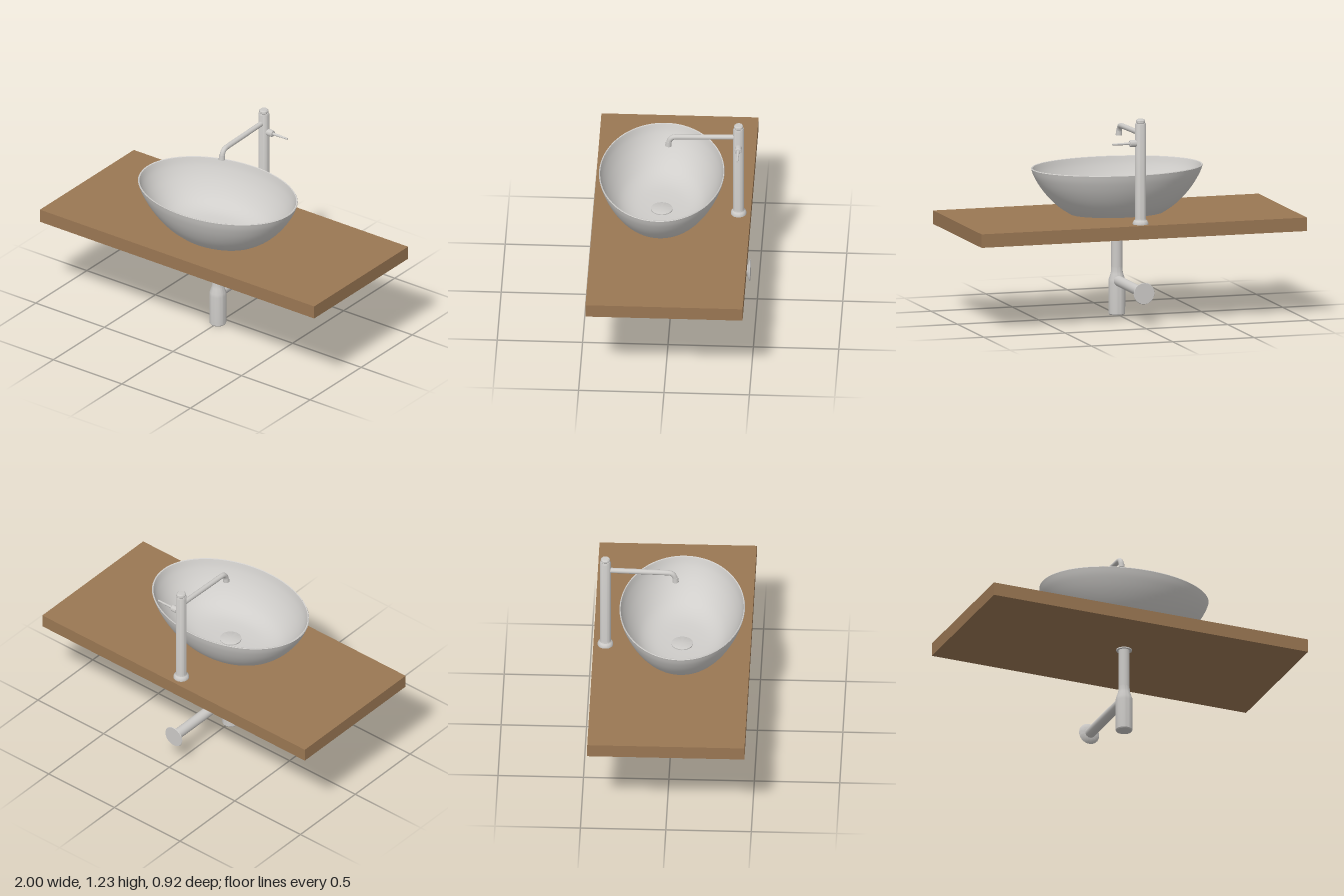
import * as THREE from 'three';
import { toCreasedNormals } from 'three/addons/utils/BufferGeometryUtils.js';

const mat = (name, color) => {
  const m = new THREE.MeshStandardMaterial({ color });
  m.name = name;
  return m;
};

export function createModel() {
  const group = new THREE.Group();
  const wood = mat('wood', 0x9a7753);
  const ceramic = mat('ceramic', 0xd0cecb);
  const metal = mat('metal', 0xcccac7);

  const add = (name, geometry, material, x = 0, y = 0, z = 0) => {
    const mesh = new THREE.Mesh(geometry, material);
    mesh.name = name;
    mesh.position.set(x, y, z);
    group.add(mesh);
    return mesh;
  };
  // Turned part from [radius, height] pairs, listed from the bottom up the outside
  const turned = (pairs, segments = 40, crease = 0.5) => toCreasedNormals(
    new THREE.LatheGeometry(pairs.map(([r, y]) => new THREE.Vector2(r, y)), segments), crease);

  const drainZ = 0.06, tapZ = -0.39;

  // Countertop
  add('countertop', new THREE.BoxGeometry(2, 0.08, 0.92), wood, 0, 0.563, 0);

  // Oval bowl: outer wall up to the rim, then the inner wall down to the floor
  const outer = new THREE.SplineCurve([
    [0.28, 0.603], [0.345, 0.645], [0.405, 0.7], [0.458, 0.765], [0.497, 0.83], [0.515, 0.876],
  ].map(p => new THREE.Vector2(...p))).getPoints(20).map(p => [p.x, p.y]);
  const inner = new THREE.SplineCurve([
    [0.505, 0.878], [0.486, 0.83], [0.447, 0.768], [0.39, 0.705], [0.325, 0.658],
    [0.24, 0.629], [0.13, 0.618], [0, 0.616],
  ].map(p => new THREE.Vector2(...p))).getPoints(30).map(p => [Math.max(p.x, 0), p.y]);
  const bowl = turned([[0, 0.603], ...outer, [0.512, 0.88], ...inner], 80);
  add('basin', bowl, ceramic, 0, 0, drainZ).scale.z = 0.713;
  add('drainCover', turned([[0.063, 0.616], [0.063, 0.623], [0.058, 0.625], [0, 0.625]]),
    metal, 0, 0, drainZ);

  // Tap column with flared foot and cap
  add('tapColumn', turned([
    [0, 0.603], [0.046, 0.603], [0.046, 0.611], [0.041, 0.622], [0.034, 0.629], [0.032, 0.64],
    [0.032, 1.195], [0.028, 1.203], [0.024, 1.203], [0.027, 1.207], [0.027, 1.218],
    [0.021, 1.225], [0, 1.226],
  ]), metal, 0, 0, tapZ);

  // Spout with a curved end
  const spout = new THREE.CurvePath();
  const v = (y, z) => new THREE.Vector3(0, y, z);
  spout.add(new THREE.LineCurve3(v(1.14, -0.37), v(1.131, -0.03)));
  spout.add(new THREE.CubicBezierCurve3(v(1.131, -0.03), v(1.131, 0), v(1.12, 0.012), v(1.088, 0.019)));
  add('spout', new THREE.TubeGeometry(spout, 60, 0.0155, 20), metal);
  add('spoutNozzle', new THREE.CylinderGeometry(0.017, 0.019, 0.03, 24), metal, 0, 1.083, 0.02)
    .rotation.x = -0.08;

  // Side lever, pointing to +x
  add('leverHub', turned([
    [0, 0], [0.02, 0], [0.02, 0.036], [0.017, 0.04], [0.009, 0.04], [0.008, 0.045],
    [0.0055, 0.145], [0, 0.146],
  ], 24), metal, 0.028, 1.083, tapZ).rotation.z = -Math.PI / 2;

  // Drain pipe and bottle trap under the countertop
  add('drainFlange', new THREE.CylinderGeometry(0.046, 0.046, 0.008, 32), metal, 0, 0.52, drainZ);
  add('drainPipe', new THREE.CylinderGeometry(0.033, 0.033, 0.25, 32), metal, 0, 0.4, drainZ);
  add('bottleTrap', turned([
    [0, 0], [0.045, 0], [0.049, 0.006], [0.05, 0.19], [0.048, 0.21], [0.037, 0.243],
    [0.034, 0.258], [0.033, 0.283], [0, 0.283],
  ]), metal, 0, 0, drainZ);

  // Waste pipe running back to its wall flange
  add('wastePipe', new THREE.CylinderGeometry(0.031, 0.031, 0.47, 32), metal, 0, 0.202, -0.21)
    .rotation.x = Math.PI / 2;
  add('wallFlange', turned([
    [0, 0], [0.062, 0], [0.064, 0.003], [0.056, 0.009], [0.042, 0.015], [0.031, 0.018], [0, 0.018],
  ]), metal, 0, 0.202, -0.46).rotation.x = Math.PI / 2;

  return group;
}
